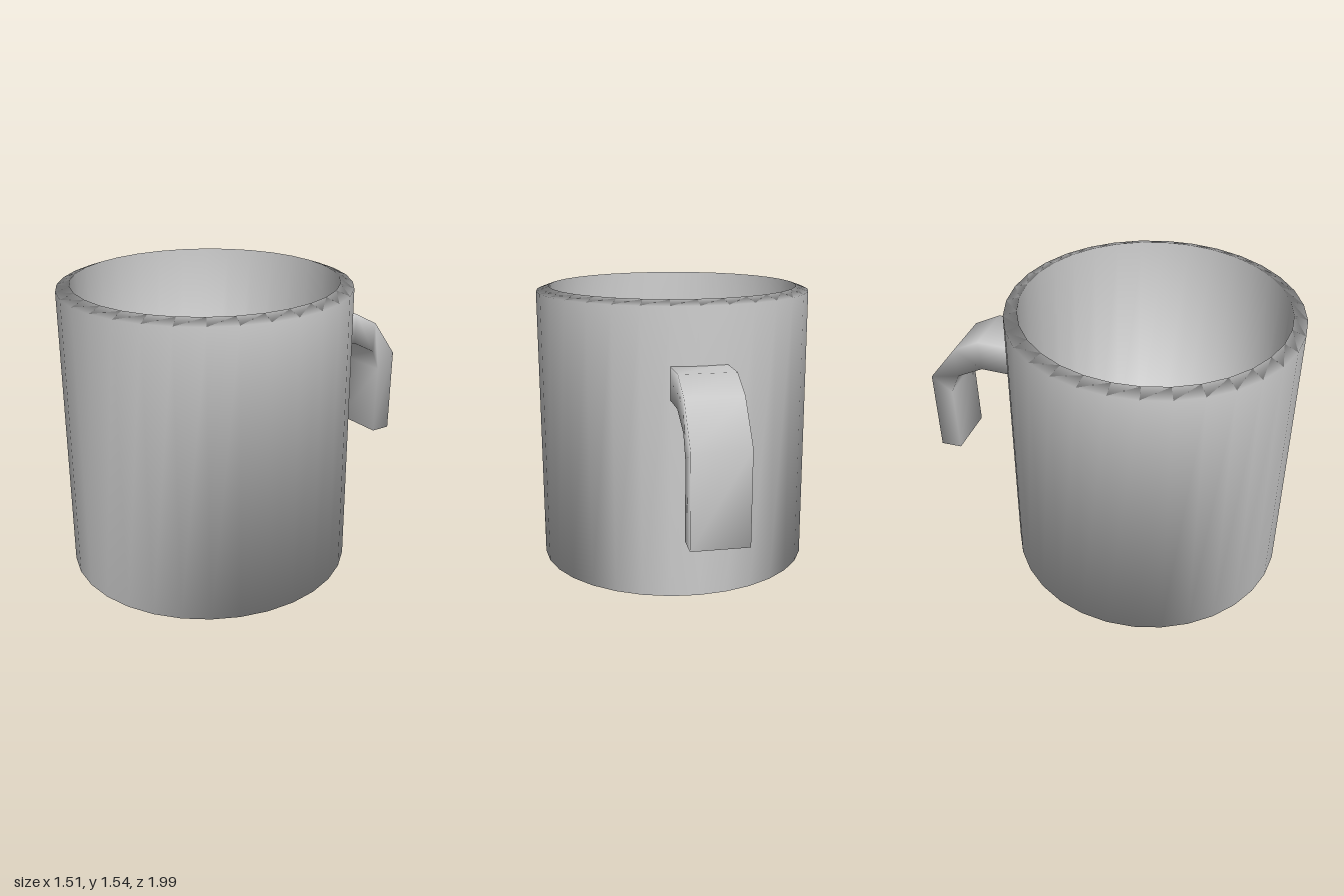
import * as THREE from 'three';

const material = new THREE.MeshStandardMaterial({ color: 0xcccccc });

// Skins equal-sized rings of points into a smooth surface, with flat end caps.
function loft(name, rings, capStart, capEnd) {
  const n = rings[0].length;
  const index = [];
  const tri = (a, b, c) => {
    if (a !== b && b !== c && a !== c) index.push(a, b, c);
  };
  for (let i = 0; i < rings.length - 1; i++) {
    for (let j = 0; j < n; j++) {
      const k = (j + 1) % n;
      const a = i * n + j, b = i * n + k, c = b + n, d = a + n;
      tri(a, b, c);
      tri(a, c, d);
    }
  }
  // Caps are filled in strips from one side of the ring to the other.
  const end = (rings.length - 1) * n;
  for (let j = 0; j < n / 2; j++) {
    const p = j, q = j + 1, r = n - j - 1, s = (n - j) % n;
    if (capStart) { tri(p, r, q); tri(p, s, r); }
    if (capEnd) { tri(end + p, end + q, end + r); tri(end + p, end + r, end + s); }
  }
  const geometry = new THREE.BufferGeometry();
  geometry.setAttribute('position', new THREE.Float32BufferAttribute(rings.flat(2), 3));
  geometry.setIndex(index);
  geometry.computeVertexNormals();
  const mesh = new THREE.Mesh(geometry, material);
  mesh.name = name;
  return mesh;
}

export function createModel() {
  const group = new THREE.Group();
  group.name = 'mug';

  // Cup: outer wall, sloping rim, inner wall and floor
  const sides = 32, centreZ = 0.24;
  const profile = [[0.755, 0], [0.755, 1.515], [0.685, 1.54], [0.685, 0.07]];
  const cupRings = profile.map(([r, y]) =>
    Array.from({ length: sides }, (_, j) => {
      const a = (j / sides) * Math.PI * 2;
      return [r * Math.sin(a), y, centreZ + r * Math.cos(a)];
    }));
  group.add(loft('cup', cupRings, true, true));

  // Handle: open hook, each section given as inner z, y and outer z, y
  const w = 0.145;
  const sections = [
    [-0.48, 1.05, -0.48, 1.22],
    [-0.68, 1.05, -0.69, 1.22],
    [-0.83, 0.97, -0.84, 1.14],
    [-0.88, 0.85, -0.998, 0.93],
    [-0.87, 0.455, -0.99, 0.45],
  ];
  const handleRings = sections.map(([zi, yi, zo, yo]) =>
    [[-w, yi, zi], [-w, yo, zo], [w, yo, zo], [w, yi, zi]]);
  group.add(loft('handle', handleRings, false, true));

  return group;
}
